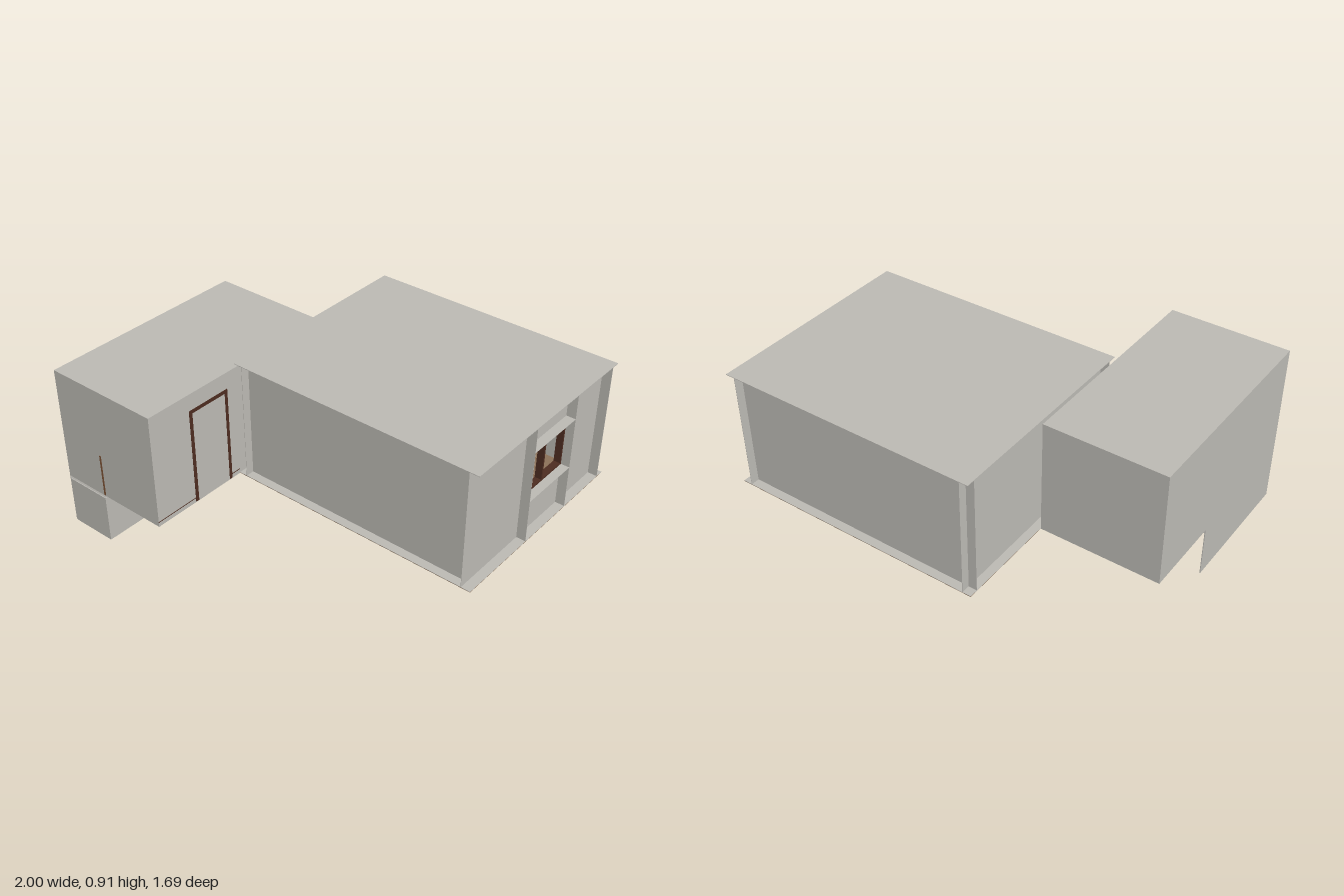
import * as THREE from 'three';

const mat = (name, color) => {
  const m = new THREE.MeshStandardMaterial({ color });
  m.name = name;
  return m;
};

export function createModel() {
  const plaster = mat('plaster', 0xbab8b2);
  const darkWood = mat('dark wood', 0x4c2c20);
  const floorWood = mat('floor wood', 0x8a7058);
  const railWood = mat('rail wood', 0x7a5236);

  const house = new THREE.Group();
  house.name = 'house';
  const group = (name) => {
    const g = new THREE.Group();
    g.name = name;
    house.add(g);
    return g;
  };

  // Box given by its limits on each axis
  const box = (parent, name, material, [x0, x1], [y0, y1], [z0, z1]) => {
    const mesh = new THREE.Mesh(new THREE.BoxGeometry(x1 - x0, y1 - y0, z1 - z0), material);
    mesh.name = name;
    mesh.position.set((x0 + x1) / 2, (y0 + y1) / 2, (z0 + z1) / 2);
    parent.add(mesh);
  };

  // Main room: thin walls set in from the edges of the roof and floor plates
  const main = group('mainRoom');
  const e = 0.001, back = -0.843, front = 0.295, inset = 0.046;
  const wallY = [0.284, 0.907];
  const winY = [0.51, 0.78], winZ = [-0.49, -0.15];
  const around = (v) => [v - e, v + e];
  const fullX = [-0.37, 1], fullZ = [back, front];
  box(main, 'mainRoof', plaster, fullX, [0.907, 0.91], fullZ);
  box(main, 'mainFloor', floorWood, fullX, [0.28, 0.282], fullZ);
  box(main, 'frontWall', plaster, [-0.37, 0.95], wallY, around(front - inset));
  box(main, 'backWall', plaster, fullX, wallY, around(back + inset));
  box(main, 'innerSideWall', plaster, around(-0.325), wallY, fullZ);
  box(main, 'windowWallFront', plaster, around(0.95), wallY, [winZ[1], front]);
  box(main, 'windowWallBack', plaster, around(0.95), wallY, [back, winZ[0]]);
  box(main, 'windowWallBelow', plaster, around(0.95), [wallY[0], winY[0]], winZ);
  box(main, 'windowWallAbove', plaster, around(0.95), [winY[1], wallY[1]], winZ);

  // Ledges on the floor outside the walls
  box(main, 'frontLedge', plaster, fullX, [0.282, 0.284], [front - inset, front]);
  box(main, 'backLedge', plaster, fullX, [0.282, 0.284], [back, back + inset]);
  for (const x of [[-0.37, -0.325], [0.95, 1]])
    box(main, 'sideLedge', plaster, x, [0.282, 0.284], [back + inset, front - inset]);

  // Window surround: full-height fins, sill and lintel
  const win = group('window');
  for (const z of winZ) box(win, 'windowFin', plaster, [0.95, 1], wallY, around(z));
  for (const y of winY) box(win, 'windowShelf', plaster, [0.95, 1], around(y), winZ);

  // Window frame with one mullion
  for (const z of [-0.485, -0.32, -0.155])
    box(win, 'windowPost', darkWood, [0.92, 0.955], winY, [z - 0.005, z + 0.005]);
  for (const y of [0.515, 0.776])
    box(win, 'windowRail', darkWood, [0.92, 0.955], [y - 0.004, y + 0.004], winZ);

  // Side room, floor cut out over the stairs
  const side = group('sideRoom');
  const t = 0.004, sideY = [0.28, 0.887], sideZ = [-0.3, 0.843];
  box(side, 'sideRoof', plaster, [-1, -0.37], [0.887 - t, 0.887], sideZ);
  box(side, 'sideFloor', plaster, [-0.745, -0.37], [0.28, 0.28 + t], sideZ);
  box(side, 'sideFloorBack', plaster, [-1, -0.745], [0.28, 0.28 + t], [-0.3, 0.13]);
  box(side, 'sideFrontWall', plaster, [-1, -0.37], sideY, [0.843 - t, 0.843]);
  box(side, 'sideBackWall', plaster, [-1, -0.37], sideY, [-0.3, -0.3 + t]);
  box(side, 'sideOuterWall', plaster, [-1, -1 + t], sideY, sideZ);
  box(side, 'sideDoorWall', plaster, [-0.37 - t, -0.37], sideY, sideZ);
  for (const z of [[0.6, 0.843], [0.295, 0.35]])
    box(side, 'wallLine', darkWood, [-0.371, -0.3695], [0.303, 0.307], z);

  // Door frame around the closed doorway
  const door = group('doorFrame');
  for (const z of [[0.35, 0.368], [0.58, 0.6]])
    box(door, 'doorPost', darkWood, [-0.374, -0.369], [0.283, 0.8], z);
  box(door, 'doorHead', darkWood, [-0.374, -0.369], [0.78, 0.8], [0.35, 0.6]);

  // Stairs: enclosed landing at the front, steps climbing towards the back
  const stairs = group('stairs');
  box(stairs, 'stairOuterPanel', plaster, [-1, -0.996], [0.006, 0.28], [0.13, 0.843]);
  box(stairs, 'stairInnerPanel', plaster, [-0.749, -0.745], [0.006, 0.262], [0.13, 0.843]);
  box(stairs, 'stairFrontPanel', plaster, [-1, -0.745], [0.006, 0.262], [0.839, 0.843]);
  box(stairs, 'landing', plaster, [-0.996, -0.749], [0, 0.008], [0.51, 0.84]);
  const steps = 6, run = 0.38 / steps, rise = 0.254 / steps;
  for (let i = 0; i < steps; i++) {
    const z = 0.51 - i * run, y = 0.008 + i * rise;
    box(stairs, 'riser', plaster, [-0.996, -0.749], [y, y + rise], [z - 0.004, z]);
    box(stairs, 'tread', plaster, [-0.996, -0.749], [y + rise - 0.004, y + rise], [z - run, z]);
  }

  // Slim railing post above the edge of the stairs
  box(house, 'railingPost', railWood, [-0.748, -0.736], [0.283, 0.515], [0.841, 0.844]);
  return house;
}
